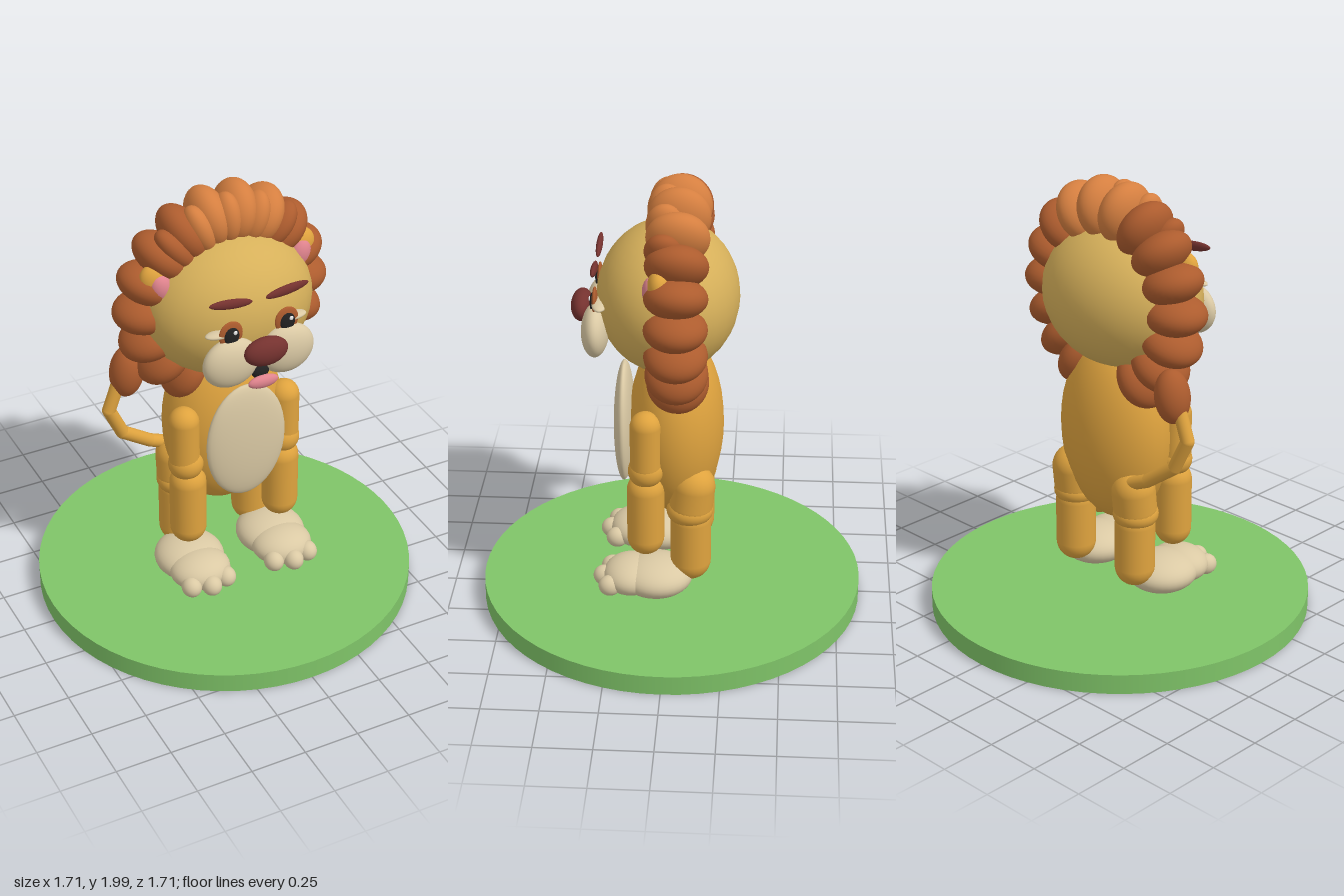
import * as THREE from 'three';

const mat = (name, color) => {
  const m = new THREE.MeshStandardMaterial({ color });
  m.name = name;
  return m;
};

export function createModel() {
  const model = new THREE.Group();
  model.name = 'lion';
  const grass = mat('grass green', 0x7fc468), face = mat('face tan', 0xd6b05a);
  const fur = mat('golden fur', 0xdfa33e), cream = mat('cream', 0xdac9a4);
  const mane = mat('dark mane', 0xad5c2e), maneLight = mat('light mane', 0xd57f40);
  const maroon = mat('maroon', 0x75322f), pink = mat('pink', 0xdf838d);
  const black = mat('black', 0x222222), white = mat('white', 0xffffff);

  const sphere = new THREE.SphereGeometry(1, 32, 20);
  const add = (name, geometry, material, pos) => {
    const mesh = new THREE.Mesh(geometry, material);
    mesh.name = name;
    mesh.position.set(...pos);
    model.add(mesh);
    return mesh;
  };
  // Ellipsoid with centre, radii and optional turn about z
  const blob = (name, material, pos, radii, turn = 0) => {
    const mesh = add(name, sphere, material, pos);
    mesh.scale.set(...radii);
    mesh.rotation.z = turn;
    return mesh;
  };
  // Round limb between two points
  const limb = (name, material, a, b, r) => {
    const p = new THREE.Vector3(...a), q = new THREE.Vector3(...b);
    const mid = p.clone().add(q).multiplyScalar(0.5);
    const mesh = add(name, new THREE.CapsuleGeometry(r, p.distanceTo(q), 8, 24), material, mid.toArray());
    mesh.quaternion.setFromUnitVectors(new THREE.Vector3(0, 1, 0), q.sub(p).normalize());
  };

  add('base', new THREE.CylinderGeometry(0.855, 0.855, 0.09, 64), grass, [0, 0.045, 0]);

  // Body and head
  blob('body', fur, [0, 0.86, -0.02], [0.28, 0.43, 0.21]);
  blob('belly', cream, [0, 0.86, 0.21], [0.19, 0.285, 0.045]);
  blob('head', face, [0, 1.475, 0.015], [0.385, 0.325, 0.308]);
  blob('nose', maroon, [0, 1.418, 0.387], [0.1, 0.065, 0.048]);
  blob('mouth', black, [0, 1.29, 0.335], [0.04, 0.035, 0.025]);
  blob('tongue', pink, [0, 1.255, 0.365], [0.07, 0.03, 0.022]);

  for (const s of [-1, 1]) {
    // Face details
    blob('muzzle', cream, [s * 0.13, 1.36, 0.32], [0.128, 0.115, 0.06]);
    blob('eyeWhite', cream, [s * 0.155, 1.495, 0.295], [0.08, 0.016, 0.035]);
    blob('iris', mane, [s * 0.13, 1.497, 0.32], [0.055, 0.062, 0.012]);
    blob('pupil', black, [s * 0.13, 1.492, 0.33], [0.034, 0.042, 0.011]);
    blob('eyeGlint', white, [s * 0.13 + 0.012, 1.512, 0.34], [0.009, 0.01, 0.005]);
    blob('eyebrow', maroon, [s * 0.13, 1.643, 0.32], [0.1, 0.022, 0.014], s * 0.13);
    blob('ear', fur, [s * 0.335, 1.655, 0.035], [0.07, 0.085, 0.05], -s * 0.5);
    blob('innerEar', pink, [s * 0.325, 1.635, 0.065], [0.05, 0.068, 0.04], -s * 0.3);

    // Arms
    limb('upperArm', fur, [s * 0.245, 0.96, 0.1], [s * 0.245, 0.77, 0.1], 0.068);
    blob('elbow', fur, [s * 0.238, 0.74, 0.1], [0.078, 0.075, 0.078]);
    limb('forearm', fur, [s * 0.23, 0.64, 0.102], [s * 0.23, 0.405, 0.102], 0.082);

    // Legs
    limb('thigh', fur, [s * 0.185, 0.64, -0.105], [s * 0.185, 0.55, -0.095], 0.097);
    blob('knee', fur, [s * 0.185, 0.52, -0.09], [0.1, 0.07, 0.103]);
    limb('shin', fur, [s * 0.185, 0.47, -0.095], [s * 0.185, 0.265, -0.095], 0.09);

    // Feet
    blob('heel', cream, [s * 0.207, 0.192, 0.06], [0.157, 0.087, 0.165]);
    blob('forefoot', cream, [s * 0.207, 0.192, 0.17], [0.14, 0.08, 0.125]);
    for (const dx of [-0.085, 0, 0.085])
      blob('toe', cream, [s * 0.207 + dx, 0.178, dx ? 0.26 : 0.29], [0.045, 0.047, 0.05]);
  }

  // Mane: a ring of radial lobes, open at the neck
  for (let i = -8; i < 8; i++) {
    const deg = i * 20 + 10, a = THREE.MathUtils.degToRad(deg);
    const light = deg >= -10 && deg <= 30;
    blob('maneLobe', light ? maneLight : mane,
      [Math.sin(a) * 0.36, 1.48 + Math.cos(a) * 0.385, -0.035], [0.088, 0.137, 0.135], -a);
  }
  // Small front lobes over the forehead
  for (const deg of [-40, -20, 0, 20, 40]) {
    const a = THREE.MathUtils.degToRad(deg);
    blob('foreheadLobe', Math.abs(deg) < 40 ? maneLight : mane,
      [Math.sin(a) * 0.37, 1.48 + Math.cos(a) * 0.385, 0.02], [0.06, 0.115, 0.083], -a);
  }

  // Tail of straight segments ending in a tuft
  const path = [[-0.14, 0.66, -0.15], [-0.3, 0.73, -0.14], [-0.44, 0.83, -0.12], [-0.505, 0.97, -0.11], [-0.45, 1.12, -0.11]];
  for (let i = 0; i < path.length - 1; i++) {
    limb('tailSegment', fur, path[i], path[i + 1], 0.03);
  }
  blob('tailTuft', mane, [-0.415, 1.15, -0.11], [0.075, 0.12, 0.08], -0.15);

  return model;
}
